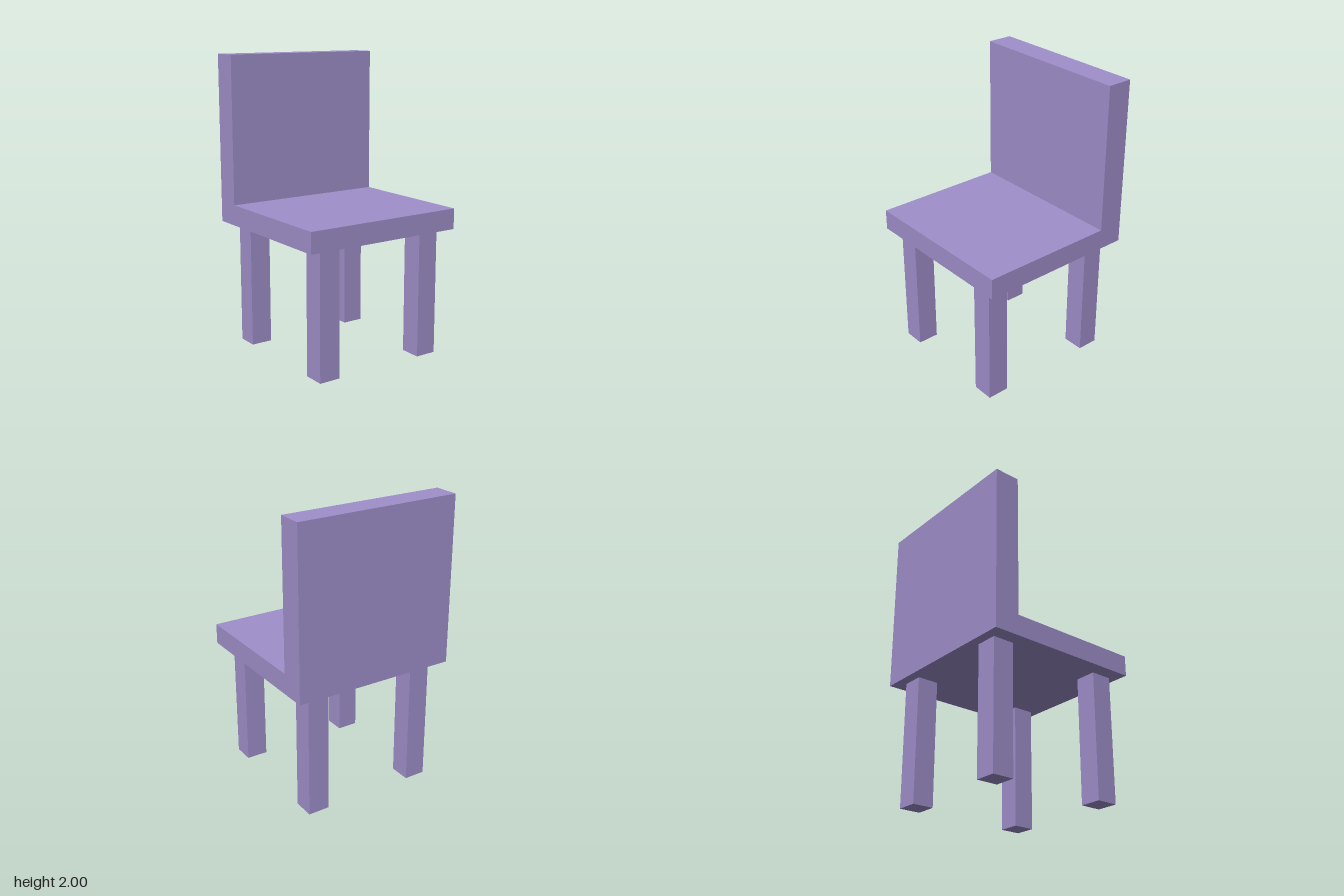
import * as THREE from 'three';

export function createModel() {
  const purple = new THREE.MeshStandardMaterial({ color: 0x9f8fca });
  purple.name = 'purple';

  const model = new THREE.Group();
  model.name = 'chair';

  const width = 1.138, depth = 1.104, backThickness = 0.176;
  const seatBottom = 0.86, seatTop = 1, backTop = 2;

  // Seat and backrest: one L-shaped side profile, extruded across the width
  const front = -depth / 2, rear = depth / 2; // profile x runs from front to rear
  const profile = new THREE.Shape([
    [front, seatBottom], [rear, seatBottom], [rear, backTop],
    [rear - backThickness, backTop], [rear - backThickness, seatTop], [front, seatTop],
  ].map(([x, y]) => new THREE.Vector2(x, y)));
  const seatGeometry = new THREE.ExtrudeGeometry(profile, { depth: width, bevelEnabled: false });
  seatGeometry.translate(0, 0, -width / 2).rotateY(Math.PI / 2);
  const seat = new THREE.Mesh(seatGeometry, purple);
  seat.name = 'seatAndBackrest';
  model.add(seat);

  // Four square legs, inset from the seat corners
  const legGeometry = new THREE.BoxGeometry(0.148, seatBottom, 0.148);
  for (const [zName, z] of [['front', 0.421], ['back', -0.412]]) {
    for (const [xName, x] of [['Left', 0.395], ['Right', -0.395]]) {
      const leg = new THREE.Mesh(legGeometry, purple);
      leg.name = `${zName}${xName}Leg`;
      leg.position.set(x, seatBottom / 2, z);
      model.add(leg);
    }
  }

  // The whole chair is turned slightly about the vertical axis
  model.rotation.y = 0.086;
  const root = new THREE.Group();
  root.name = 'turnedChair';
  root.add(model);
  return root;
}
